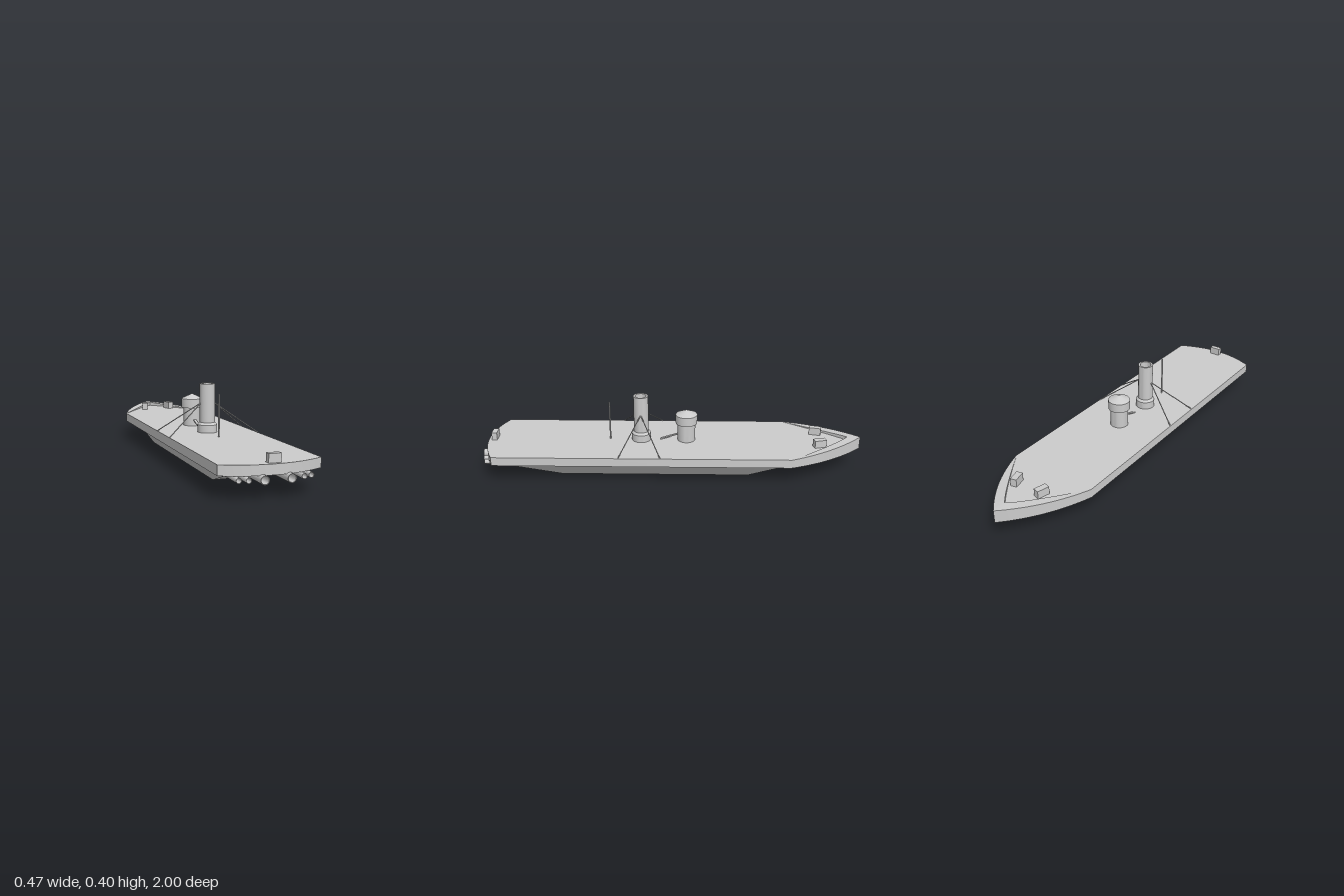
import * as THREE from 'three';
import { toCreasedNormals } from 'three/addons/utils/BufferGeometryUtils.js';

const DECK = 0.148;
const mat = new THREE.MeshStandardMaterial({ color: 0xcccccc });
const thin = new THREE.MeshStandardMaterial({ color: 0xcccccc, side: THREE.DoubleSide });

// Skin between successive cross-sections (arrays of [x, y, z]).
function loft(sections, crease) {
  const pos = [];
  for (let i = 0; i < sections.length - 1; i++) {
    for (let j = 0; j < sections[i].length - 1; j++) {
      const a = sections[i][j], b = sections[i][j + 1];
      const c = sections[i + 1][j + 1], d = sections[i + 1][j];
      pos.push(...a, ...d, ...c, ...a, ...c, ...b);
    }
  }
  const g = new THREE.BufferGeometry();
  g.setAttribute('position', new THREE.Float32BufferAttribute(pos, 3));
  g.computeVertexNormals();
  return toCreasedNormals(g, crease);
}

// Lathe with crisp edges; profile points are [radius, height].
function turned(profile, segments = 32) {
  const g = new THREE.LatheGeometry(profile.map(p => new THREE.Vector2(...p)), segments);
  return toCreasedNormals(g, 0.5);
}

// Round bar between two points.
function bar(from, to, radius) {
  const path = new THREE.LineCurve3(new THREE.Vector3(...from), new THREE.Vector3(...to));
  return new THREE.TubeGeometry(path, 1, radius, 8);
}

export function createModel() {
  const ship = new THREE.Group();
  const add = (name, geometry, x = 0, y = 0, z = 0, material = mat) => {
    const mesh = new THREE.Mesh(geometry, material);
    mesh.name = name;
    mesh.position.set(x, y, z);
    ship.add(mesh);
    return mesh;
  };

  // Hull stations: z, keel height, half widths of bottom, chine and top edge
  const stations = [
    [0.93, 0.102, 0.215, 0.217, 0.22],
    [0.87, 0.085, 0.188, 0.19, 0.22],
    [0.58, 0, 0.125, 0.19, 0.22],
    [-0.4, 0, 0.125, 0.19, 0.22],
    [-0.6, 0, 0, 0.178, 0.215],
    [-0.68, 0.02, 0, 0.152, 0.195],
    [-0.76, 0.042, 0, 0.12, 0.165],
    [-0.84, 0.063, 0, 0.082, 0.125],
    [-0.92, 0.085, 0, 0.035, 0.072],
    [-0.985, 0.102, 0, 0.002, 0.006],
  ];
  const rings = stations.map(([z, keel, b, c, t]) => {
    const chine = Math.max(0.085, keel);
    return [[-t, 0.104, z], [-c, chine, z], [-b, keel, z],
      [b, keel, z], [c, chine, z], [t, 0.104, z]];
  });
  add('hull', loft(rings, 0.3));

  // Deck slab: rounded stern, straight sides, pointed bow
  const outline = new THREE.Shape();
  outline.moveTo(-0.235, -0.92);
  outline.quadraticCurveTo(0, -1.04, 0.235, -0.92);
  outline.lineTo(0.235, 0.61);
  outline.quadraticCurveTo(0.16, 0.84, 0, 1);
  outline.quadraticCurveTo(-0.16, 0.84, -0.235, 0.61);
  outline.closePath();
  const slab = new THREE.ExtrudeGeometry(outline, { depth: DECK - 0.102, bevelEnabled: false, curveSegments: 16 });
  slab.rotateX(-Math.PI / 2);
  add('deck', toCreasedNormals(slab, 0.35), 0, 0.102, 0);

  // Bow bulwark: wedge rising from the deck edge to the stem
  const curve = (...p) => new THREE.QuadraticBezierCurve(...p.map(q => new THREE.Vector2(...q)));
  const outer = curve([0.235, -0.61], [0.16, -0.84], [0, -1]);
  const inner = curve([0.23, -0.615], [0.07, -0.86], [0, -0.93]);
  const rim = [];
  for (let i = 0; i <= 32; i++) {
    const side = i <= 16 ? 1 : -1;
    const t = (i <= 16 ? i : 32 - i) / 16;
    const o = outer.getPoint(t), n = inner.getPoint(t);
    const rise = 0.02 * (-0.61 - o.y) / 0.39;
    const top = DECK + rise;
    rim.push([[side * o.x, DECK, o.y], [side * o.x, top, o.y],
      [side * n.x, top, n.y], [side * n.x, DECK, n.y]]);
  }
  add('bowBulwark', loft(rim, 0.35), 0, 0, 0, thin);

  // Mooring blocks
  for (const s of [-1, 1]) {
    add('bowBlock', new THREE.BoxGeometry(0.032, 0.044, 0.062), s * 0.077, 0.166, -0.772).rotation.y = s * 0.25;
  }
  add('sternBlock', new THREE.BoxGeometry(0.058, 0.042, 0.028), 0, 0.167, 0.948);

  // Funnel with collar and open top
  add('funnel', turned([[0.05, DECK], [0.05, 0.187], [0.039, 0.199], [0.039, 0.396],
    [0.029, 0.396], [0.029, 0.25], [0, 0.25]]), 0, 0, 0.165);

  // Round wheelhouse with overhanging band and conical roof
  add('wheelhouse', turned([[0.047, DECK], [0.047, 0.245], [0.057, 0.245], [0.057, 0.293],
    [0, 0.319]]), 0, 0, -0.075);

  // Gangway from deck to wheelhouse
  const gangway = add('gangway', new THREE.BoxGeometry(0.014, 0.006, 0.1), 0, 0.165, 0.016);
  gangway.rotation.x = 0.31;

  // Mast and funnel stays
  add('mast', new THREE.CylinderGeometry(0.004, 0.004, 0.21, 12), 0, 0.253, 0.33);
  for (const s of [-1, 1]) {
    for (const z of [0.058, 0.272]) {
      add('stay', bar([s * 0.033, 0.299, 0.165], [s * 0.234, 0.149, z], 0.0027));
    }
  }

  // Hollow exhaust pipes under the stern: x, radius, end z
  for (const [x, r, end] of [[0.06, 0.02, 1], [0.124, 0.0125, 0.985], [0.162, 0.0125, 0.972]]) {
    const length = end - 0.8, w = r * 0.85;
    for (const s of [-1, 1]) {
      const pipe = add('exhaustPipe', turned([[r, 0], [r, length], [w, length], [w, 0.08], [0, 0.08]], 24),
        s * x, 0.088, 0.8);
      pipe.rotation.x = Math.PI / 2;
    }
  }
  return ship;
}
